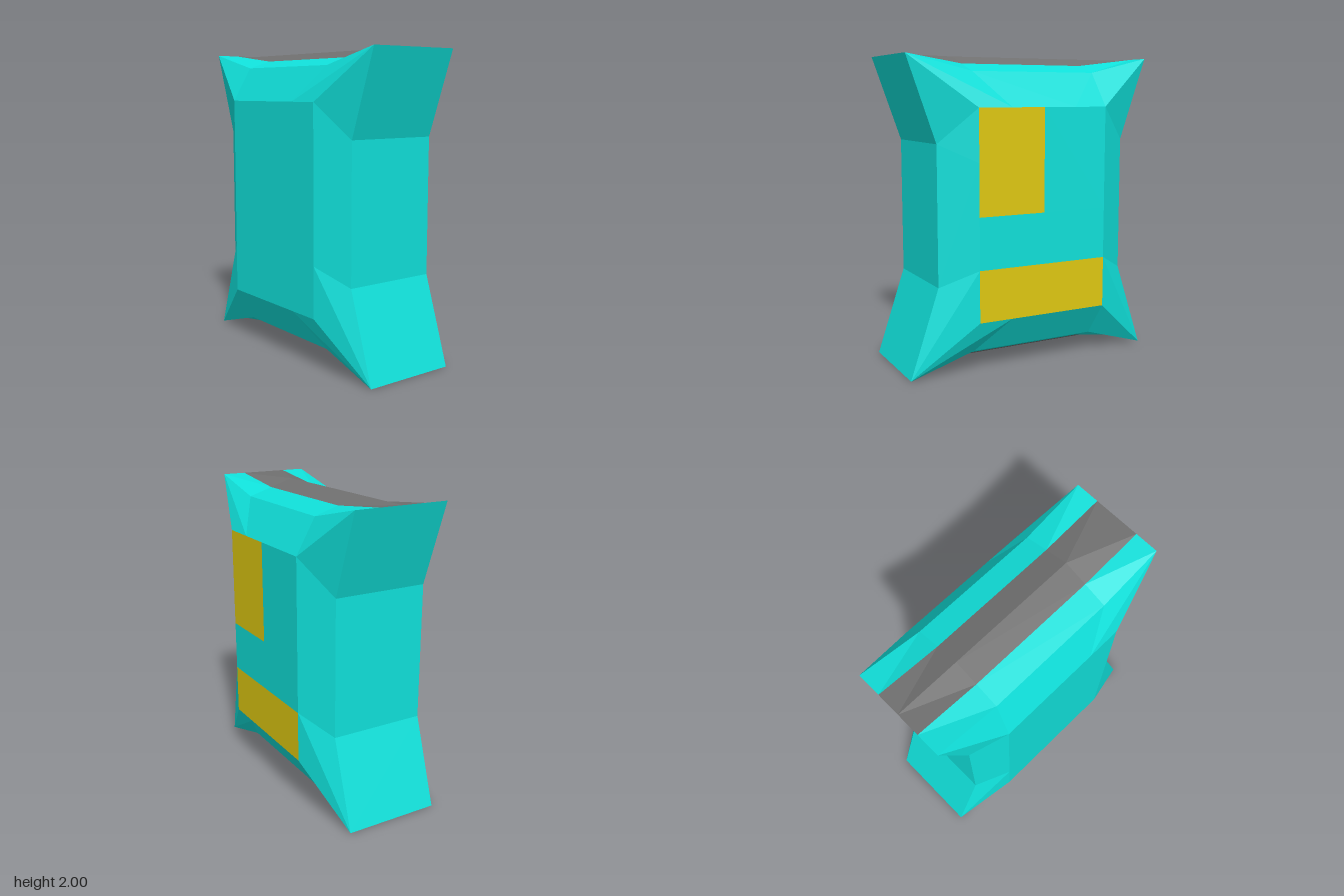
import * as THREE from 'three';

const TEAL = 0x10e0da, GREY = 0x707070, YELLOW = 0xdec811;

// Heights are measured from the middle of the body (y = 1) until the end.
const CX = -0.01;                        // centre line of the rim
const RIM_X = 0.315, RIM_Z = 0.865;      // corner posts
const WAIST_Z = 0.675, WAIST = [-0.43, 0.46];
const DIP_Z = 0.435;                     // where the top and bottom rims dip in
const SIDE_X = 0.4425, SIDE_Z = 0.455;   // raised side panels
const SIDE_LOW = -0.65, SIDE_HIGH = 0.68;
const ROW = (SIDE_HIGH - SIDE_LOW) / 4;

// Builds a flat-shaded mesh from quads, turning every triangle outwards.
function shell(name, color, quads) {
  const pos = [];
  const tri = (a, b, c) => {
    const [p, q, r] = [a, b, c].map((v) => new THREE.Vector3(...v));
    const n = q.clone().sub(p).cross(r.clone().sub(p));
    const mid = p.clone().add(q).add(r);
    for (const v of n.dot(mid) > 0 ? [a, b, c] : [a, c, b]) pos.push(...v);
  };
  for (const [a, b, c, d] of quads) {
    tri(a, b, c);
    tri(a, c, d);
  }
  const geo = new THREE.BufferGeometry();
  geo.setAttribute('position', new THREE.Float32BufferAttribute(pos, 3));
  geo.computeVertexNormals();
  const mesh = new THREE.Mesh(geo, new THREE.MeshStandardMaterial({ color, flatShading: true }));
  mesh.name = name;
  return mesh;
}

// Joins two equally long rows of points with quads.
const bridge = (a, b) => a.slice(1).map((p, i) => [a[i], p, b[i + 1], b[i]]);

// Lengthwise line on the top (up = 1) or bottom (up = -1); t = 0 ridge, t = 1 rim.
function capLine(up, sx, t) {
  const dip = up > 0 ? 0.1 : 0.13;
  return [RIM_Z, DIP_Z, -DIP_Z, -RIM_Z].map((z, i) => [
    CX + sx * t * RIM_X,
    up * (1 - (i === 1 || i === 2 ? dip * t : 0)),
    z,
  ]);
}

// Upright corner line with its pinched waist.
const postLine = (sx, sz) => [-1, ...WAIST, 1].map((y, i) =>
  [CX + sx * RIM_X, y, sz * (i === 1 || i === 2 ? WAIST_Z : RIM_Z)]);

// Rectangle on a side panel.
const patch = (sx, y0, y1, z0, z1) =>
  [[y0, z0], [y1, z0], [y1, z1], [y0, z1]].map(([y, z]) => [sx * SIDE_X, y, z]);

export function createModel() {
  const model = new THREE.Group();
  const body = new THREE.Group();
  body.position.y = 1;
  model.add(body);

  // Top and bottom: teal borders with a grey centre stripe
  for (const up of [1, -1]) {
    const border = [], stripe = [];
    for (const sx of [1, -1]) {
      border.push(...bridge(capLine(up, sx, 1), capLine(up, sx, 0.5)));
      stripe.push(...bridge(capLine(up, sx, 0.5), capLine(up, sx, 0)));
    }
    const side = up > 0 ? 'top' : 'bottom';
    body.add(shell(side + 'Border', TEAL, border), shell(side + 'Stripe', GREY, stripe));
  }

  // Pinched front and back walls
  for (const sz of [1, -1]) {
    body.add(shell(sz > 0 ? 'frontWall' : 'backWall', TEAL,
      bridge(postLine(1, sz), postLine(-1, sz))));
  }

  // Sloping bevels between the rims and the side panels
  for (const sx of [1, -1]) {
    const bevel = [];
    for (const s of [1, -1]) {
      const upright = [SIDE_LOW, SIDE_LOW + ROW, SIDE_HIGH - ROW, SIDE_HIGH]
        .map((y) => [sx * SIDE_X, y, s * SIDE_Z]);
      const level = [1, 0.5, -0.5, -1]
        .map((t) => [sx * SIDE_X, s > 0 ? SIDE_HIGH : SIDE_LOW, t * SIDE_Z]);
      bevel.push(...bridge(postLine(sx, s), upright), ...bridge(capLine(s, sx, 1), level));
    }
    body.add(shell(sx > 0 ? 'leftBevel' : 'rightBevel', TEAL, bevel));
  }

  // Side panels; the left one carries two yellow patches
  const y1 = SIDE_LOW + ROW, y2 = SIDE_LOW + 2 * ROW;
  body.add(
    shell('rightPanel', TEAL, [patch(-1, SIDE_LOW, SIDE_HIGH, -SIDE_Z, SIDE_Z)]),
    shell('leftPanel', TEAL, [
      patch(1, y1, y2, -SIDE_Z, SIDE_Z),
      patch(1, y2, SIDE_HIGH, -SIDE_Z, 0),
    ]),
    shell('lowerYellowPatch', YELLOW, [patch(1, SIDE_LOW, y1, -SIDE_Z, SIDE_Z)]),
    shell('upperYellowPatch', YELLOW, [patch(1, y2, SIDE_HIGH, 0, SIDE_Z)]),
  );
  return model;
}
